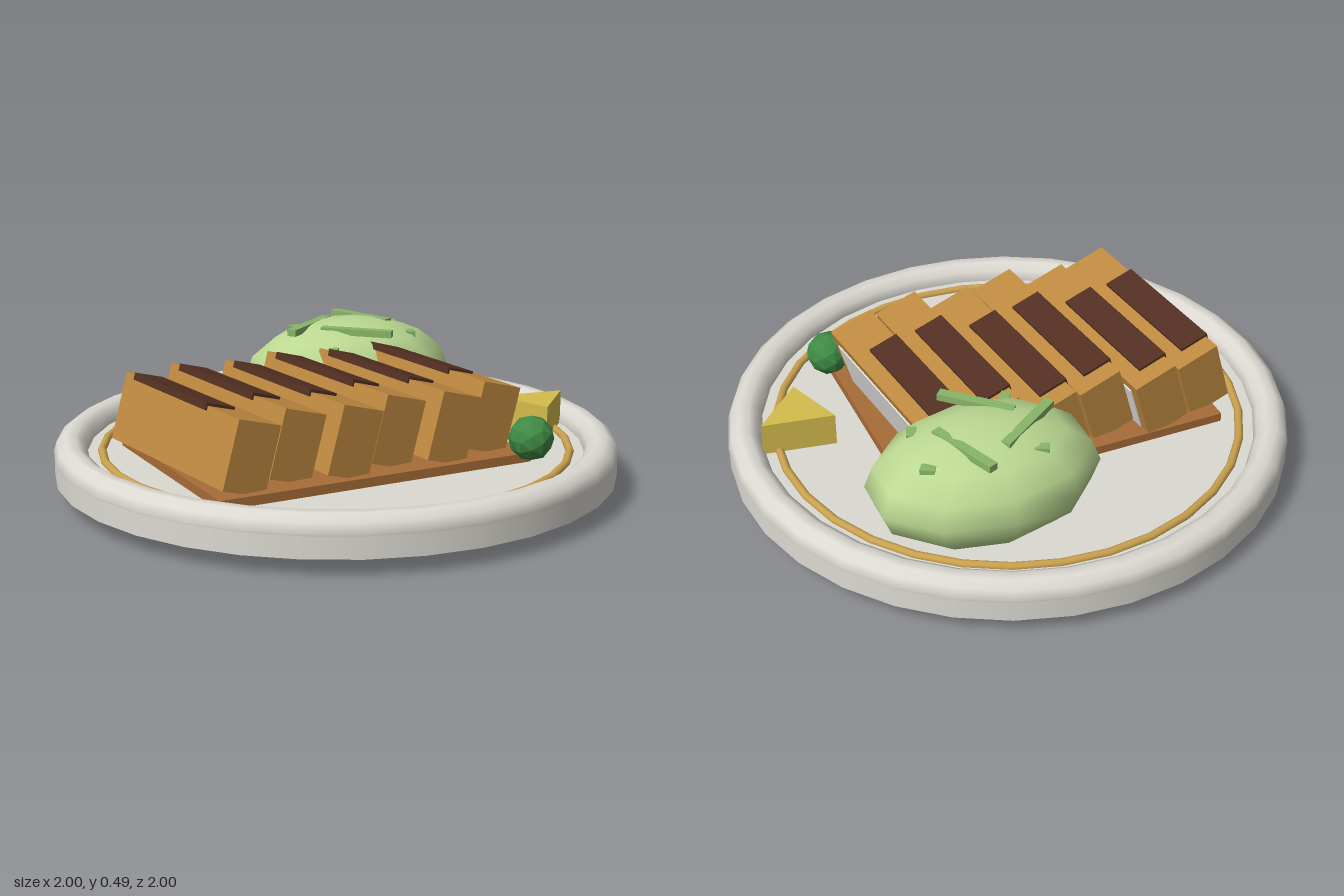
import * as THREE from 'three';

function material(name, color, extra = {}) {
  const m = new THREE.MeshStandardMaterial({ color, ...extra });
  m.name = name;
  return m;
}

export function createModel() {
  const mats = {
    china: material('china', 0xdcdad2),
    gold: material('gold', 0xc9a14e),
    board: material('board', 0xa86c38),
    crust: material('crust', 0xbf8a40),
    meat: material('meat', 0xe4e3e0),
    sauce: material('sauce', 0x522f21),
    cabbage: material('cabbage', 0xbcd992),
    shred: material('shred', 0x88b568),
    parsley: material('parsley', 0x3f8a44, { flatShading: true }),
    lemon: material('lemon', 0xd4bc4c),
  };

  const model = new THREE.Group();
  model.name = 'platedCutlet';

  function add(parent, name, geometry, mat, x = 0, y = 0, z = 0) {
    const mesh = new THREE.Mesh(geometry, mat);
    mesh.name = name;
    mesh.position.set(x, y, z);
    parent.add(mesh);
    return mesh;
  }

  // Plate: foot, disc, rounded rim and gilded line
  const plate = new THREE.Group();
  plate.name = 'plate';
  model.add(plate);
  add(plate, 'foot', new THREE.CylinderGeometry(0.55, 0.55, 0.07, 32), mats.china, 0, 0.035, 0);
  add(plate, 'disc', new THREE.CylinderGeometry(0.998, 0.998, 0.08, 32), mats.china, 0, 0.1, 0);
  const ring = (name, radius, tube, mat, y) =>
    add(plate, name, new THREE.TorusGeometry(radius, tube, 10, 32).rotateX(Math.PI / 2), mat, 0, y, 0);
  ring('rim', 0.94, 0.06, mats.china, 0.142);
  ring('goldLine', 0.83, 0.015, mats.gold, 0.142);

  // Thin base under the slices
  add(model, 'cutletBase', new THREE.BoxGeometry(1.18, 0.035, 0.845), mats.board, -0.09, 0.155, 0.077);

  // Six leaning slices, each with a pale cut face and a sauce strip
  const W = 0.165, H = 0.24, L = 0.755;
  for (let i = 0; i < 6; i++) {
    const slice = new THREE.Group();
    slice.name = 'slice' + (i + 1);
    slice.position.set(-0.59 + 0.19 * i, 0.287, i % 2 ? 0.04 : 0.088);
    slice.rotation.set(0, 0.115, -0.28);
    model.add(slice);
    add(slice, 'crust', new THREE.BoxGeometry(W, H, L), mats.crust);
    add(slice, 'cutFace', new THREE.BoxGeometry(0.006, 0.195, 0.67), mats.meat, W / 2 + 0.002, -0.012, 0);
    add(slice, 'sauceStrip', new THREE.BoxGeometry(0.112, 0.025, 0.49), mats.sauce, -0.033, 0.117, -0.065);
  }

  // Cabbage mound
  const mound = add(model, 'cabbageMound',
    new THREE.SphereGeometry(1, 10, 8, Math.PI / 10), mats.cabbage, 0.28, 0.28, -0.44);
  mound.scale.set(0.41, 0.21, 0.29);

  // Loose shreds: x, y, z, length, turn
  const shreds = [
    [0.135, 0.465, -0.475, 0.28, 0.61],
    [0.38, 0.465, -0.52, 0.27, -1.19],
    [0.245, 0.465, -0.3, 0.27, -0.76],
    [0.51, 0.428, -0.53, 0.05, -0.6],
    [0.13, 0.434, -0.58, 0.05, -0.4],
    [0.12, 0.412, -0.25, 0.05, 0.9],
    [0.49, 0.428, -0.33, 0.05, 1.2],
  ];
  for (const [x, y, z, length, turn] of shreds) {
    add(model, 'cabbageShred', new THREE.BoxGeometry(length, 0.025, 0.035), mats.shred, x, y, z).rotation.y = turn;
  }

  // Parsley ball
  add(model, 'parsley', new THREE.IcosahedronGeometry(0.08, 1), mats.parsley, 0.5, 0.225, 0.5);

  // Lemon wedge: upright triangular prism
  const wedge = new THREE.Shape([
    new THREE.Vector2(0.62, -0.08), new THREE.Vector2(0.7, -0.3), new THREE.Vector2(0.877, -0.123),
  ]);
  const wedgeGeometry = new THREE.ExtrudeGeometry(wedge, { depth: 0.122, bevelEnabled: false });
  add(model, 'lemonWedge', wedgeGeometry.rotateX(-Math.PI / 2), mats.lemon, 0, 0.14, 0);

  return model;
}
